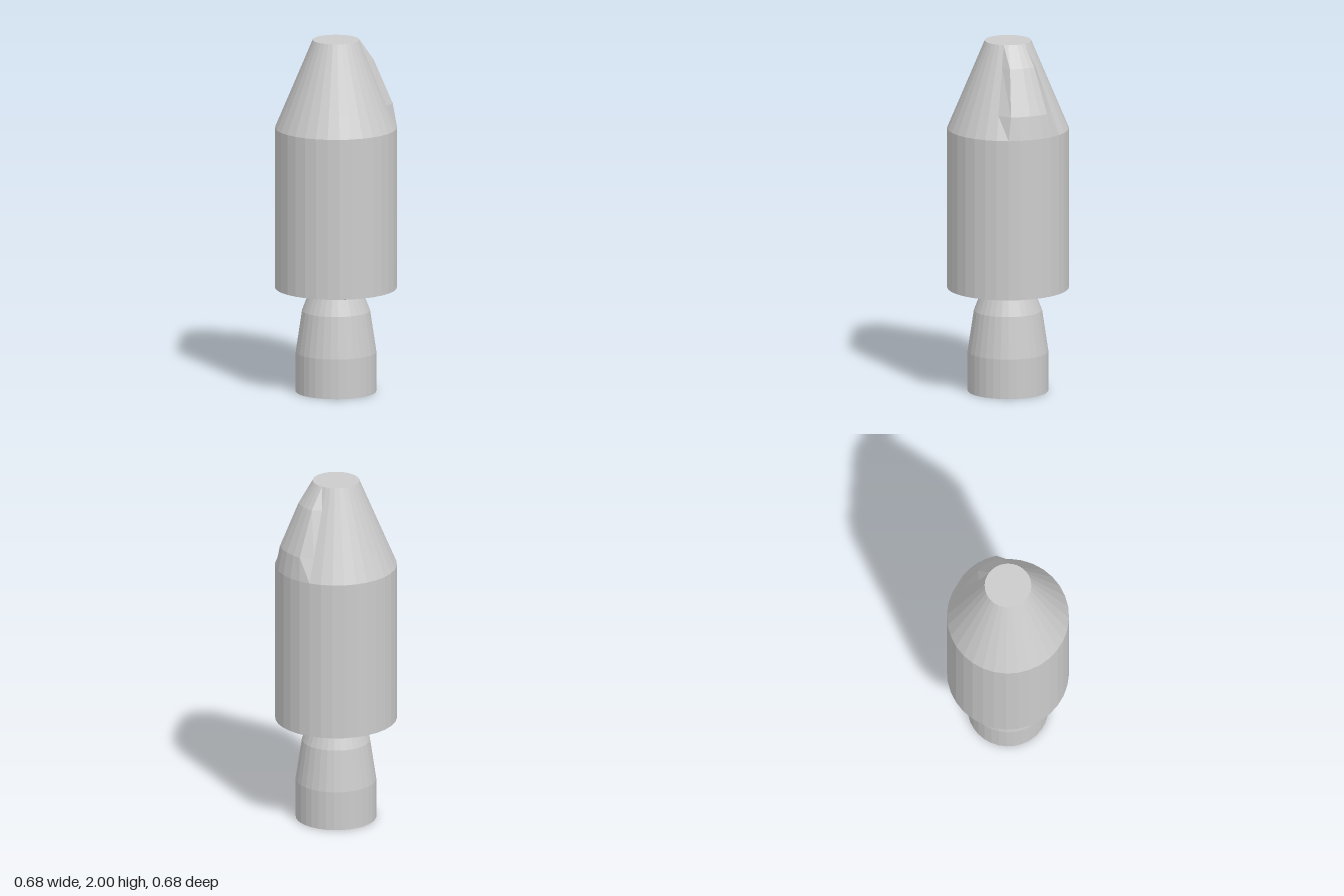
import * as THREE from 'three';

const SEGMENTS = 32;
const material = new THREE.MeshStandardMaterial({ color: 0xcccccc, flatShading: true });

// Turned part from [radius, height] pairs, listed so that the outside faces out
function turned(name, profile) {
  const points = profile.map(([r, y]) => new THREE.Vector2(r, y));
  const mesh = new THREE.Mesh(new THREE.LatheGeometry(points, SEGMENTS), material);
  mesh.name = name;
  return mesh;
}

// Raise a tapered blister on the +x side of the nose cone
function raiseBlister(geometry, profile, raisedRadii) {
  const pos = geometry.attributes.position;
  const n = profile.length;
  for (let i = 6; i <= 10; i++) {
    const step = i - 8;
    // the two ridges sit slightly inside their cone edges
    const angle = THREE.MathUtils.degToRad(Math.abs(step) === 2 ? Math.sign(step) * 20 : step * 11.25);
    for (const [row, radius] of raisedRadii) {
      pos.setXYZ(i * n + row, radius * Math.cos(angle), profile[row][1], -radius * Math.sin(angle));
    }
  }
  geometry.computeVertexNormals();
}

export function createModel() {
  const model = new THREE.Group();
  model.name = 'rocketStage';

  // Hollow engine bell with a recessed ceiling
  model.add(turned('engineNozzle', [
    [0, 0.2], [0.185, 0.2], [0.185, 0], [0.225, 0], [0.225, 0.225], [0.19, 0.46], [0.155, 0.55],
  ]));

  // Straight tank with a shallow conical underside
  model.add(turned('tankBody', [[0, 0.55], [0.155, 0.55], [0.34, 0.59], [0.34, 1.5]]));

  // Truncated nose cone with the blister on one side
  const noseProfile = [[0.34, 1.5], [0.285, 1.63], [0.18, 1.88], [0.13, 2], [0, 2]];
  const nose = turned('noseCone', noseProfile);
  raiseBlister(nose.geometry, noseProfile, [[1, 0.318], [2, 0.212]]);
  model.add(nose);

  return model;
}
